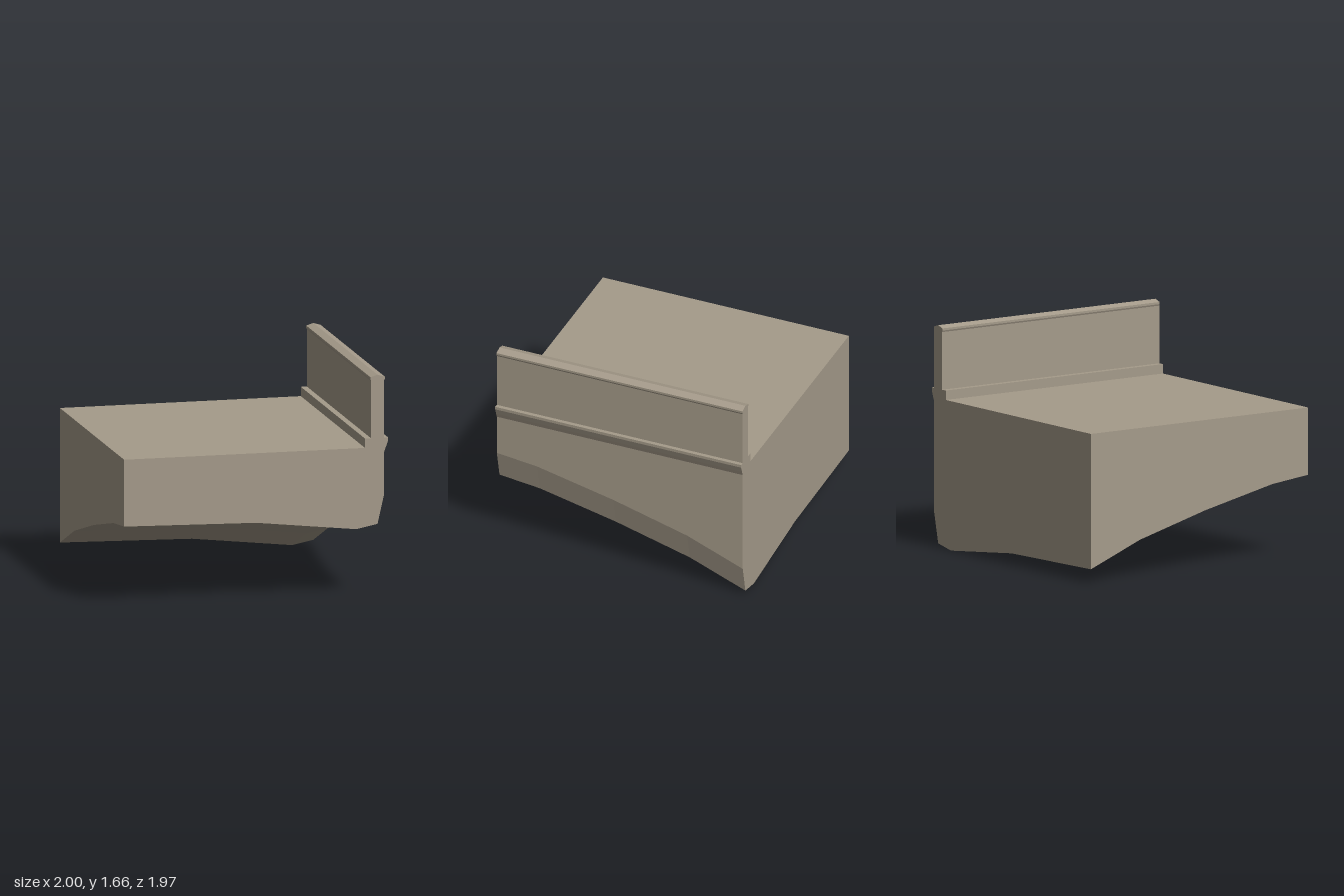
import * as THREE from 'three';

// Stations along the span, front to back: [z, drop of the arched underside]
const STATIONS = [[0.985, 0], [0.66, -0.037], [0.05, -0.172], [-0.54, -0.332], [-0.985, -0.508]];

// Lofts a counter-clockwise section along z. The first `arched` points follow
// the drop; the edge starting at point `open` is a hidden joint and is left out.
function loft(section, arched, open) {
  const n = section.length;
  const rings = STATIONS.map(([z, drop]) =>
    section.map(([x, y], i) => new THREE.Vector3(x, y + (i < arched ? drop : 0), z)));
  const pos = [];
  const tri = (...pts) => pts.forEach((p) => pos.push(p.x, p.y, p.z));

  for (let s = 0; s < rings.length - 1; s++) {
    const a = rings[s], b = rings[s + 1];
    for (let i = 0; i < n; i++) {
      if (i === open) continue;
      const j = (i + 1) % n;
      tri(a[i], b[i], b[j]);
      tri(a[i], b[j], a[j]);
    }
  }

  // End faces
  const addCap = (ring, front) => {
    const contour = ring.map((p) => new THREE.Vector2(p.x, p.y));
    for (const [i, j, k] of THREE.ShapeUtils.triangulateShape(contour, [])) {
      const [p, q, r] = [contour[i], contour[j], contour[k]];
      const ccw = (q.x - p.x) * (r.y - p.y) - (q.y - p.y) * (r.x - p.x) > 0;
      if (ccw === front) tri(ring[i], ring[j], ring[k]);
      else tri(ring[i], ring[k], ring[j]);
    }
  };
  addCap(rings[0], true);
  addCap(rings[rings.length - 1], false);

  const geo = new THREE.BufferGeometry();
  geo.setAttribute('position', new THREE.Float32BufferAttribute(pos, 3));
  geo.computeVertexNormals();
  return geo;
}

export function createModel() {
  const group = new THREE.Group();
  group.name = 'bridgeSection';
  const stone = new THREE.MeshStandardMaterial({ color: 0xa59b8a });
  stone.name = 'stone';

  const addPart = (name, section, arched, open) => {
    const mesh = new THREE.Mesh(loft(section, arched, open), stone);
    mesh.name = name;
    group.add(mesh);
  };

  // Deck with arched underside and flared outer edge
  addPart('deck', [
    [-1, 0.618], [0, 0.598], [0.76, 0.513], [0.92, 0.545], [0.97, 0.767],
    [0.97, 1.085], [0.983, 1.12], [0.825, 1.12], [-1, 1.12],
  ], 5, 6);

  // Parapet: kerb and ledge, wall, and peaked coping
  addPart('parapet', [
    [0.825, 1.12], [0.983, 1.12], [1, 1.168], [1, 1.19], [0.97, 1.19],
    [0.97, 1.62], [0.975, 1.632], [0.975, 1.648], [0.92, 1.665],
    [0.866, 1.648], [0.866, 1.632], [0.871, 1.62], [0.871, 1.19], [0.825, 1.19],
  ], 0, 0);

  return group;
}
